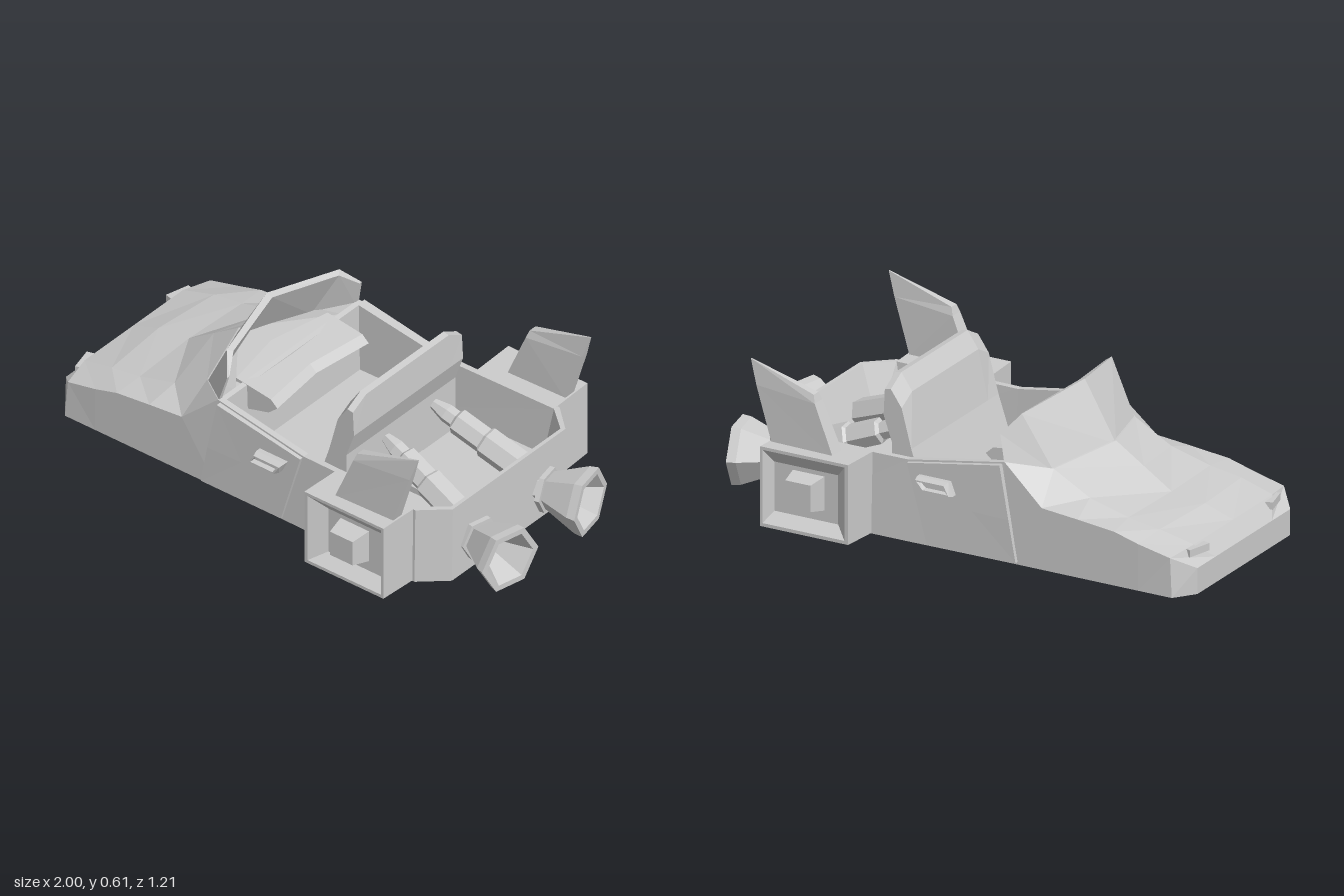
import * as THREE from 'three';

const material = new THREE.MeshStandardMaterial({ color: 0xcccccc, flatShading: true });

// Solid skinned over rings of [x, y, z] points, capped at both ends, facing outward
function loft(name, rings) {
  const tris = [];
  const n = rings[0].length;
  for (let i = 0; i < rings.length - 1; i++) {
    for (let j = 0; j < n; j++) {
      const k = (j + 1) % n;
      const a = rings[i][j], b = rings[i][k], c = rings[i + 1][k], d = rings[i + 1][j];
      tris.push([a, b, c], [a, c, d]);
    }
  }
  const cap = (ring, flip) => {
    const mid = [0, 1, 2].map(c => ring.reduce((sum, p) => sum + p[c], 0) / n);
    ring.forEach((p, j) => {
      const q = ring[(j + 1) % n];
      tris.push(flip ? [mid, q, p] : [mid, p, q]);
    });
  };
  cap(rings[0], true);
  cap(rings[rings.length - 1], false);
  // Turn the faces around if the enclosed volume comes out negative
  let volume = 0;
  for (const [a, b, c] of tris) {
    volume += a[0] * (b[1] * c[2] - b[2] * c[1]) + a[1] * (b[2] * c[0] - b[0] * c[2])
      + a[2] * (b[0] * c[1] - b[1] * c[0]);
  }
  if (volume < 0) tris.forEach(t => t.reverse());
  const geometry = new THREE.BufferGeometry();
  geometry.setAttribute('position', new THREE.Float32BufferAttribute(tris.flat(2), 3));
  geometry.computeVertexNormals();
  const mesh = new THREE.Mesh(geometry, material);
  mesh.name = name;
  return mesh;
}

const scaleZ = (rings, s) => rings.map(r => r.map(([x, y, z]) => [x, y, z * s]));
const rect = (x0, x1, y0, y1, z) => [[x0, y0, z], [x1, y0, z], [x1, y1, z], [x0, y1, z]];
const hex = (x, r) => Array.from({ length: 6 }, (_, i) =>
  [x, r * Math.sin(i * Math.PI / 3), r * Math.cos(i * Math.PI / 3)]);

function box(name, w, h, d, x, y, z) {
  const mesh = new THREE.Mesh(new THREE.BoxGeometry(w, h, d), material);
  mesh.name = name;
  mesh.position.set(x, y, z);
  return mesh;
}

// Nose half, as cross-sections from the centre line out to the shoulder and down
const hoodHalf = [
  [[-1, 0.1, 0], [-1, 0.1, 0.2], [-1, 0.1, 0.33], [-1, 0, 0.33], [-1, 0, 0]],
  [[-0.955, 0.165, 0], [-0.955, 0.165, 0.28], [-0.93, 0.15, 0.405], [-0.94, 0, 0.41], [-0.94, 0, 0]],
  [[-0.84, 0.205, 0], [-0.82, 0.2, 0.29], [-0.8, 0.18, 0.41], [-0.8, 0, 0.41], [-0.8, 0, 0]],
  [[-0.7, 0.222, 0], [-0.69, 0.22, 0.29], [-0.7, 0.208, 0.41], [-0.7, 0, 0.41], [-0.7, 0, 0]],
  [[-0.585, 0.297, 0], [-0.53, 0.263, 0.29], [-0.55, 0.224, 0.41], [-0.55, 0, 0.41], [-0.55, 0, 0]],
  [[-0.47, 0.372, 0], [-0.38, 0.345, 0.29], [-0.4, 0.238, 0.41], [-0.4, 0, 0.41], [-0.4, 0, 0]],
  [[-0.24, 0.37, 0], [-0.24, 0.37, 0.3], [-0.24, 0.38, 0.4], [-0.24, 0, 0.41], [-0.24, 0, 0]],
];

// Windshield half; each slice: outer bottom, outer top, inner top, inner bottom
const windshieldHalf = [
  [[-0.47, 0.36, 0], [-0.34, 0.585, 0], [-0.315, 0.575, 0], [-0.44, 0.36, 0]],
  [[-0.38, 0.335, 0.29], [-0.265, 0.545, 0.32], [-0.25, 0.535, 0.3], [-0.355, 0.335, 0.27]],
  [[-0.24, 0.37, 0.4], [-0.212, 0.478, 0.383], [-0.212, 0.478, 0.37], [-0.24, 0.37, 0.38]],
];

// Open hull with cockpit and rear bed: steep side walls, sloping tail wall
function createTub() {
  const ring = half => [...half, ...scaleZ([half.slice().reverse()], -1)[0]];
  return loft('tub', [
    ring([[-0.24, 0, 0.41], [0.16, 0, 0.415], [0.68, 0, 0.415], [0.78, 0, 0.325]]),
    ring([[-0.24, 0.38, 0.4], [0.16, 0.312, 0.405], [0.68, 0.312, 0.41], [0.78, 0.312, 0.32]]),
    ring([[-0.22, 0.376, 0.375], [0.16, 0.312, 0.38], [0.67, 0.312, 0.39], [0.765, 0.312, 0.31]]),
    ring([[-0.21, 0.1, 0.37], [0.16, 0.1, 0.375], [0.63, 0.1, 0.38], [0.685, 0.1, 0.28]]),
  ]);
}

function createSeatBack() {
  const slice = (z, drop) => [
    [0.13, 0.1], [0.2, 0.31], [0.24, 0.5 - drop], [0.285, 0.565 - drop],
    [0.31, 0.56 - drop], [0.315, 0.42], [0.28, 0.32], [0.28, 0.1],
  ].map(([x, y]) => [x, y, z]);
  return loft('seatBack', [slice(-0.31, 0.04), slice(-0.235, 0), slice(0.235, 0), slice(0.31, 0.04)]);
}

// Wedge-shaped panel behind the windshield
function createDashboard() {
  const slice = (z, x0, x1) => [[x0, 0.26, z], [x0, 0.385, z], [x1 - 0.03, 0.362, z], [x1, 0.335, z], [x1 - 0.04, 0.3, z]];
  return loft('dashboard', [slice(-0.26, -0.27, -0.08), slice(0, -0.32, -0.11), slice(0.26, -0.27, -0.08)]);
}

// Everything that comes in pairs; s is +1 or -1 along z
function createSide(s) {
  const side = new THREE.Group();
  side.name = s > 0 ? 'leftSide' : 'rightSide';
  const add = (name, rings) => side.add(loft(name, scaleZ(rings, s)));

  add('hood', hoodHalf);
  add('windshield', windshieldHalf);

  // Door skin and its recessed handle
  const door = [[-0.3, 0.01], [0.07, 0.01], [0.155, 0.305], [-0.23, 0.372], [-0.27, 0.17]];
  add('doorPanel', [0.39, 0.425].map(z => door.map(([x, y]) => [x, y, y > 0.2 ? z - 0.005 : z])));
  const handle = (inset, z) => [[-0.05 + inset, 0.222 + inset, z], [0.075 - inset, 0.222 + inset, z],
    [0.1 - inset, 0.272 - inset, z], [-0.03 + inset, 0.272 - inset, z]];
  add('doorHandle', [handle(0, 0.41), handle(0, 0.44), handle(0.006, 0.465), handle(0.011, 0.465), handle(0.014, 0.445)]);

  // Side pod with a bevelled recess and a block in the middle
  add('sidePod', [
    rect(0.305, 0.67, 0, 0.312, 0.39), rect(0.305, 0.67, 0.012, 0.32, 0.58),
    rect(0.32, 0.66, 0.025, 0.308, 0.58), rect(0.375, 0.64, 0.06, 0.25, 0.53),
  ]);
  add('podBlock', [rect(0.43, 0.565, 0.1, 0.235, 0.52), rect(0.445, 0.55, 0.12, 0.222, 0.607)]);

  // Swept tail fin
  add('tailFin', [
    [[0.4, 0.31, 0.457], [0.4, 0.31, 0.525], [0.66, 0.31, 0.515], [0.66, 0.31, 0.465]],
    [[0.48, 0.5, 0.463], [0.48, 0.5, 0.517], [0.73, 0.52, 0.505], [0.73, 0.52, 0.477]],
    [[0.49, 0.53, 0.473], [0.49, 0.53, 0.507], [0.76, 0.612, 0.492], [0.76, 0.612, 0.488]],
  ]);

  // Hexagonal thruster bell, hollow, turned slightly outward
  const bell = loft('thruster', [
    hex(-0.06, 0.055), hex(0, 0.055), hex(0, 0.085), hex(0.02, 0.085), hex(0.02, 0.07),
    hex(0.15, 0.125), hex(0.185, 0.13), hex(0.185, 0.105), hex(0.05, 0.035),
  ]);
  bell.position.set(0.79, 0.125, s * 0.19);
  bell.rotation.y = -s * 0.21;
  side.add(bell);

  // Engine tube sloping down through the bed
  const tube = loft('engineTube', [
    hex(0, 0.02), hex(0.06, 0.035), hex(0.1, 0.035), hex(0.11, 0.05), hex(0.23, 0.05),
    hex(0.24, 0.06), hex(0.4, 0.06),
  ]);
  tube.position.set(0.32, 0.32, s * 0.135);
  tube.rotation.set(0, -s * 0.12, -0.36, 'YZX');
  side.add(tube);

  // Slim headlight on the nose edge
  const lamp = box('headlight', 0.03, 0.028, 0.1, -0.962, 0.145, s * 0.27);
  lamp.rotation.y = s * 0.25;
  side.add(lamp);
  return side;
}

export function createModel() {
  const model = new THREE.Group();
  model.name = 'speeder';
  model.add(createTub(), createDashboard(), createSeatBack());
  model.add(box('bedPanel', 0.32, 0.03, 0.2, 0.46, 0.11, 0));
  model.add(createSide(1), createSide(-1));
  return model;
}
